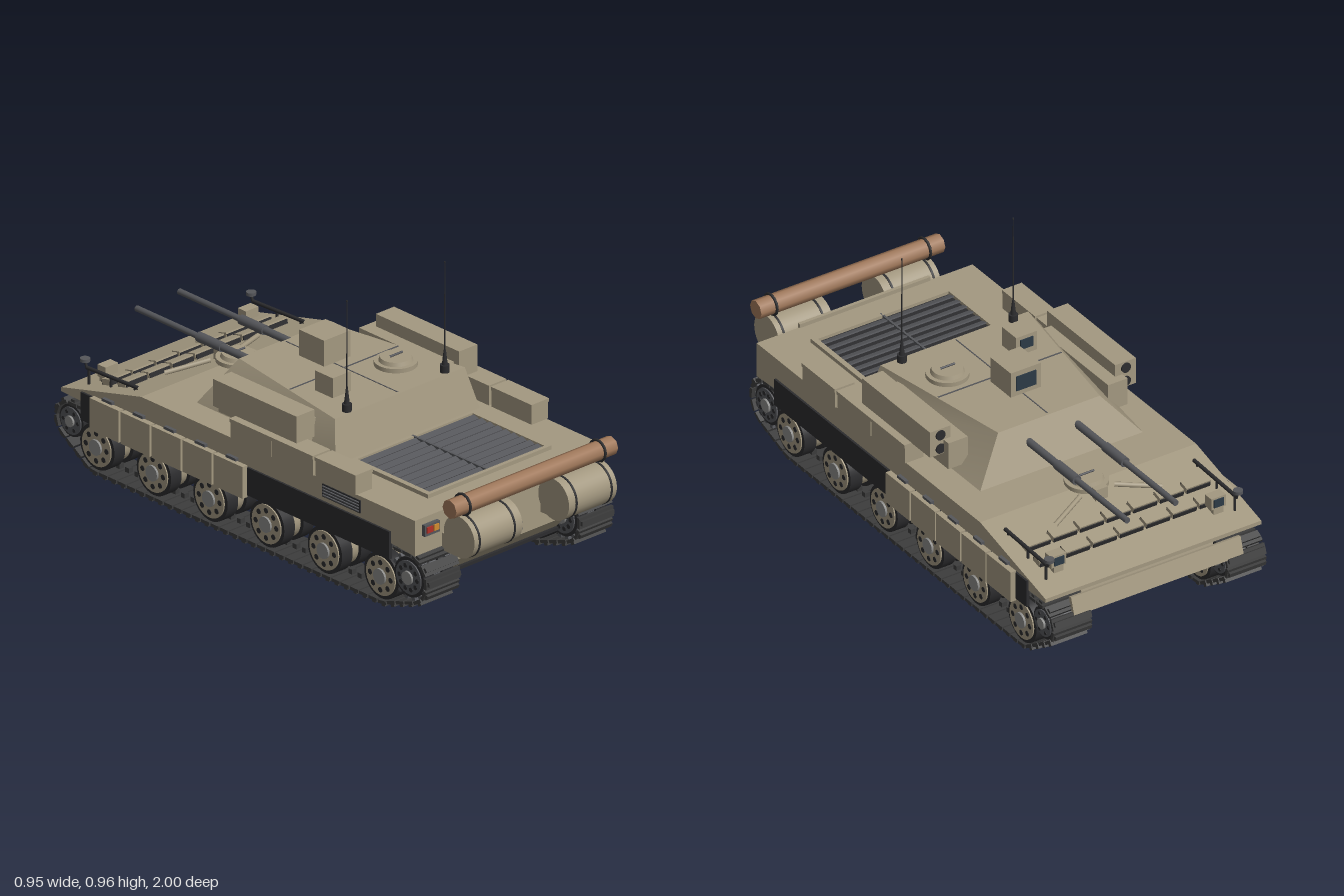
import * as THREE from 'three';
import { mergeGeometries } from 'three/addons/utils/BufferGeometryUtils.js';

const paint = (color) => new THREE.MeshStandardMaterial({ color });
const TAN = paint(0xa39880), DARK = paint(0x2c2c2e), TRACK = paint(0x3c3c3c), STEEL = paint(0x55565a);
const HUB = paint(0x8a8a88), WOOD = paint(0xa0785a), RED = paint(0xb03028), AMBER = paint(0xd08a30), GLASS = paint(0x2c3a46);

function add(parent, name, geo, mat, x = 0, y = 0, z = 0) {
  const m = new THREE.Mesh(geo, mat);
  m.name = name;
  m.position.set(x, y, z);
  parent.add(m);
  return m;
}
// Box given by its limits on each axis
const box = (p, name, mat, x0, x1, y0, y1, z0, z1) =>
  add(p, name, new THREE.BoxGeometry(Math.abs(x1 - x0), y1 - y0, Math.abs(z1 - z0)), mat, (x0 + x1) / 2, (y0 + y1) / 2, (z0 + z1) / 2);
// Cylinder along an axis
function cyl(p, name, mat, axis, r, len, x, y, z, seg = 24, r2 = r) {
  const g = new THREE.CylinderGeometry(r2, r, len, seg);
  if (axis === 'x') g.rotateZ(-Math.PI / 2);
  if (axis === 'z') g.rotateX(-Math.PI / 2); // r2 end faces -z
  return add(p, name, g, mat, x, y, z);
}
// Round bar between two points
function bar(p, name, mat, a, b, r) {
  const path = new THREE.LineCurve3(new THREE.Vector3(...a), new THREE.Vector3(...b));
  return add(p, name, new THREE.TubeGeometry(path, 1, r, 8), mat);
}
// Side profile of [z, y] points extruded across the width
function slab(p, name, mat, pts, halfWidth) {
  const s = new THREE.Shape(pts.map(([z, y]) => new THREE.Vector2(-z, y)));
  const g = new THREE.ExtrudeGeometry(s, { depth: halfWidth * 2, bevelEnabled: false });
  g.translate(0, 0, -halfWidth).rotateY(Math.PI / 2);
  return add(p, name, g, mat);
}

// Belt around circles [z, y, r], listed counter-clockwise, as a list of points
function belt(circles) {
  const pts = [], n = circles.length;
  const normal = (a, b) => Math.atan2(b[1] - a[1], b[0] - a[0]) - Math.acos((a[2] - b[2]) / Math.hypot(b[0] - a[0], b[1] - a[1]));
  circles.forEach((c, i) => {
    const a0 = normal(circles[(i + n - 1) % n], c);
    let a1 = normal(c, circles[(i + 1) % n]);
    while (a1 < a0) a1 += Math.PI * 2;
    for (let k = 0; k <= 16; k++) {
      const a = a0 + (a1 - a0) * k / 16;
      pts.push(new THREE.Vector3(0, c[1] + c[2] * Math.sin(a), c[0] + c[2] * Math.cos(a)));
    }
  });
  return pts;
}

function trackGeometry() {
  const pts = belt([[-0.786, 0.11, 0.094], [0.636, 0.11, 0.094], [0.775, 0.152, 0.09], [-0.915, 0.165, 0.069]]);
  const path = new THREE.CurvePath();
  pts.forEach((p, i) => {
    const q = pts[(i + 1) % pts.length];
    if (p.distanceTo(q) > 1e-5) path.add(new THREE.LineCurve3(p, q));
  });
  const count = 84, pitch = path.getLength() / count, parts = [];
  for (let i = 0; i < count; i++) {
    const p = path.getPointAt(i / count), t = path.getTangentAt(i / count);
    const angle = Math.atan2(-t.y, t.z);
    // shoe, grouser and inner guide horn
    [[0.16, 0.012, pitch * 0.86, 0], [0.15, 0.012, pitch * 0.36, -0.01], [0.02, 0.02, pitch * 0.4, 0.014]].forEach(([w, h, l, y]) =>
      parts.push(new THREE.BoxGeometry(w, h, l).translate(0, y, 0).rotateX(angle).translate(0, p.y, p.z)));
  }
  return mergeGeometries(parts);
}

// Wheel facing +x, with a ring of dark holes
function wheel(name, r, holes, rimMat) {
  const g = new THREE.Group();
  g.name = name;
  cyl(g, 'tyre', DARK, 'x', r, 0.05, 0.045, 0, 0, 32);
  cyl(g, 'innerTyre', DARK, 'x', r, 0.05, -0.045, 0, 0, 32);
  cyl(g, 'rim', rimMat, 'x', r * 0.84, 0.15, 0, 0, 0, 32);
  cyl(g, 'hub', HUB, 'x', r * 0.34, 0.166, 0, 0, 0, 16);
  for (let i = 0; i < holes; i++) {
    const a = (i / holes) * Math.PI * 2;
    cyl(g, 'hole', DARK, 'x', r * 0.12, 0.153, 0, Math.sin(a) * r * 0.6, Math.cos(a) * r * 0.6, 10);
  }
  return g;
}

function runningGear(root, s, track) {
  const g = new THREE.Group();
  g.name = 'runningGear';
  root.add(g);
  add(g, 'track', track, TRACK, s * 0.36);
  const place = (w, y, z) => { w.position.set(s * 0.36, y, z); g.add(w); };
  [0.636, 0.353, 0.064, -0.22, -0.503, -0.786].forEach((z) => {
    place(wheel('roadWheel', 0.086, 8, TAN), 0.11, z);
    bar(g, 'swingArm', STEEL, [s * 0.275, 0.17, z - 0.1], [s * 0.285, 0.11, z], 0.016);
  });
  place(wheel('idler', 0.06, 6, STEEL), 0.165, -0.915);
  const sprocket = wheel('sprocket', 0.074, 10, STEEL);
  for (let i = 0; i < 14; i++) [-0.055, 0.055].forEach((x) => {
    const a = (i / 14) * Math.PI * 2;
    add(sprocket, 'tooth', new THREE.BoxGeometry(0.025, 0.02, 0.016), STEEL, x, Math.sin(a) * 0.078, Math.cos(a) * 0.078).rotation.x = -a + Math.PI / 2;
  });
  place(sprocket, 0.152, 0.775);
}

function sideFittings(root, s) {
  // Skirts
  box(root, 'rubberSkirt', DARK, s * 0.44, s * 0.454, 0.2, 0.305, -0.845, 0.7);
  for (let i = 0; i < 5; i++) {
    const z = -0.012 - i * 0.155;
    box(root, 'skirtPanel', TAN, s * 0.452, s * 0.474, 0.192, 0.312, z - 0.147, z);
    box(root, 'skirtHinge', STEEL, s * 0.445, s * 0.46, 0.306, 0.322, z - 0.1, z - 0.05);
  }
  // Stowage boxes along the deck edge
  [[0.33, 0.53], [0.112, 0.316], [-0.097, 0.108]].forEach(([a, b]) => {
    box(root, 'stowageBox', TAN, s * 0.375, s * 0.452, 0.385, 0.45, a, b);
    box(root, 'stowageLid', TAN, s * 0.373, s * 0.455, 0.448, 0.461, a - 0.002, b + 0.002);
  });
  // Launcher housing beside the turret
  box(root, 'launcherMount', TAN, s * 0.29, s * 0.37, 0.41, 0.515, -0.243, 0.18);
  box(root, 'launcherHousing', TAN, s * 0.34, s * 0.425, 0.46, 0.562, -0.212, 0.205);
  [0.484, 0.538].forEach((y) => cyl(root, 'launcherTube', DARK, 'z', 0.019, 0.01, s * 0.383, y, -0.212));
  // Tail lamp
  box(root, 'lampHousing', STEEL, s * 0.342, s * 0.412, 0.318, 0.36, 0.81, 0.835);
  box(root, 'amberLamp', AMBER, s * 0.35, s * 0.372, 0.33, 0.352, 0.83, 0.84);
  box(root, 'redLamp', RED, s * 0.378, s * 0.405, 0.33, 0.352, 0.83, 0.84);
  // Fuel drum with bands and brackets
  cyl(root, 'fuelDrum', TAN, 'x', 0.077, 0.225, s * 0.222, 0.323, 0.923, 32);
  [0.145, 0.31].forEach((x) => cyl(root, 'drumBand', DARK, 'x', 0.079, 0.008, s * x, 0.323, 0.923, 32));
  [0.145, 0.31].forEach((x) => box(root, 'drumBracket', TAN, s * x - 0.008, s * x + 0.008, 0.235, 0.3, 0.81, 0.9));
  add(root, 'logStrap', new THREE.TorusGeometry(0.039, 0.005, 6, 12).rotateY(Math.PI / 2), DARK, s * 0.317, 0.442, 0.923);
  // Antenna
  cyl(root, 'antennaBase', DARK, 'y', 0.017, 0.03, s * 0.23, 0.55, 0.25, 12);
  cyl(root, 'antennaSpring', DARK, 'y', 0.011, 0.06, s * 0.23, 0.59, 0.25, 10, 0.004);
  cyl(root, 'antennaRod', DARK, 'y', 0.003, 0.34, s * 0.23, 0.78, 0.25, 6, 0.0015);
  cyl(root, 'antennaTip', DARK, 'y', 0.003, 0.006, s * 0.23, 0.952, 0.25, 8);
  // Gun barrel: root, sleeve, tube
  [[0.014, -0.3, -0.53], [0.018, -0.51, -0.63], [0.011, -0.62, -0.94]].forEach(([r, a, b]) =>
    cyl(root, 'gunBarrel', STEEL, 'z', r, a - b, s * 0.1, 0.475, (a + b) / 2, 16));
  // Headlamp, guard rail and mirror
  box(root, 'headlampBase', TAN, s * 0.31, s * 0.35, 0.3, 0.33, -0.86, -0.81);
  box(root, 'headlamp', TAN, s * 0.3, s * 0.36, 0.33, 0.375, -0.86, -0.82);
  box(root, 'headlampLens', GLASS, s * 0.31, s * 0.35, 0.337, 0.368, -0.864, -0.855);
  bar(root, 'guardRail', DARK, [s * 0.39, 0.375, -0.62], [s * 0.39, 0.365, -0.88], 0.007);
  [-0.64, -0.76, -0.87].forEach((z) => bar(root, 'railPost', DARK, [s * 0.39, 0.3, z], [s * 0.39, 0.37, z], 0.005));
  cyl(root, 'mirror', STEEL, 'y', 0.018, 0.012, s * 0.39, 0.392, -0.89, 14);
  bar(root, 'mirrorStalk', DARK, [s * 0.39, 0.36, -0.88], [s * 0.39, 0.39, -0.89], 0.005);
  bar(root, 'splashBar', TAN, [s * 0.22, 0.36, -0.675], [s * 0.07, 0.385, -0.605], 0.009);
}

function hatch(p, name, x, y, z, r) {
  cyl(p, name + 'Ring', TAN, 'y', r, 0.016, x, y + 0.008, z, 32);
  cyl(p, name + 'Lid', TAN, 'y', r * 0.8, 0.016, x, y + 0.022, z, 32, r * 0.72);
  bar(p, name + 'Handle', STEEL, [x - r * 0.4, y + 0.037, z], [x + r * 0.4, y + 0.037, z], 0.004);
}

export function createModel() {
  const root = new THREE.Group();
  root.name = 'trackedVehicle';

  // Hull
  slab(root, 'upperHull', TAN, [[0.82, 0.25], [0.82, 0.385], [-0.55, 0.385], [-0.95, 0.285], [-0.95, 0.27], [-0.82, 0.265], [-0.7, 0.26], [0.7, 0.26]], 0.446);
  slab(root, 'lowerHull', TAN, [[0.82, 0.3], [0.82, 0.18], [0.76, 0.112], [-0.72, 0.106], [-0.92, 0.2], [-0.9, 0.28]], 0.272);
  box(root, 'rearPlate', TAN, -0.27, 0.27, 0.18, 0.4, 0.815, 0.828);
  box(root, 'rearLip', DARK, -0.272, 0.272, 0.104, 0.116, 0.75, 0.775);
  add(root, 'trimVane', new THREE.BoxGeometry(0.7, 0.07, 0.015), TAN, 0, 0.23, -0.968).rotation.x = 0.3;
  box(root, 'towPlate', TAN, -0.03, 0.03, 0.215, 0.263, 0.825, 0.835);
  box(root, 'towHook', STEEL, -0.009, 0.009, 0.225, 0.255, 0.83, 0.875);
  cyl(root, 'log', WOOD, 'x', 0.035, 0.76, 0, 0.442, 0.923, 8);

  // Engine deck grille
  box(root, 'grilleBed', DARK, -0.275, 0.275, 0.38, 0.388, 0.345, 0.705);
  [-1, 1].forEach((s) => box(root, 'grilleFrame', TAN, s * 0.27, s * 0.29, 0.38, 0.4, 0.33, 0.72));
  [0.33, 0.705].forEach((z) => box(root, 'grilleFrame', TAN, -0.29, 0.29, 0.38, 0.4, z, z + 0.015));
  for (let i = 0; i < 9; i++)
    add(root, 'grilleSlat', new THREE.BoxGeometry(0.54, 0.005, 0.026), STEEL, 0, 0.392, 0.365 + i * 0.04).rotation.x = 0.3;
  box(root, 'grilleSpine', STEEL, -0.004, 0.004, 0.39, 0.4, 0.33, 0.72);

  // Side exhaust louvre
  box(root, 'exhaustFrame', DARK, -0.45, -0.44, 0.322, 0.37, 0.36, 0.55);
  for (let i = 0; i < 4; i++) box(root, 'exhaustLouvre', STEEL, -0.456, -0.445, 0.328 + i * 0.011, 0.332 + i * 0.011, 0.365, 0.545);

  // Rows of blocks on the glacis
  const glacis = new THREE.Group();
  glacis.name = 'glacisBlocks';
  glacis.position.set(0, 0.385, -0.55);
  glacis.rotation.x = -0.245;
  root.add(glacis);
  [-0.17, -0.252].forEach((z) => {
    for (let i = -3; i <= 3; i++) {
      box(glacis, 'block', TAN, i * 0.11 - 0.05, i * 0.11 + 0.05, 0, 0.022, z - 0.019, z + 0.019);
      box(glacis, 'blockStrap', DARK, i * 0.11 - 0.048, i * 0.11 + 0.048, 0, 0.016, z - 0.023, z + 0.023);
    }
  });
  hatch(root, 'driverHatch', 0, 0.384, -0.54, 0.078);
  box(root, 'driverPeriscope', TAN, -0.025, 0.025, 0.36, 0.408, -0.635, -0.61);

  // Turret: a box drawn in towards the roof, most of all at the gun end
  const shell = new THREE.BoxGeometry(2, 1, 2), v = shell.attributes.position;
  for (let i = 0; i < v.count; i++) {
    const top = v.getY(i) > 0, gunEnd = v.getZ(i) < 0;
    const x = top ? (gunEnd ? 0.21 : 0.305) : 0.34;
    v.setXYZ(i, v.getX(i) * x, top ? 0.537 : 0.38, gunEnd ? (top ? -0.31 : -0.39) : (top ? 0.27 : 0.31));
  }
  shell.computeVertexNormals();
  add(root, 'turret', shell, TAN);
  box(root, 'roofSeam', STEEL, -0.255, 0.255, 0.534, 0.5385, -0.012, -0.006);
  box(root, 'roofSeam', STEEL, -0.002, 0.002, 0.534, 0.5385, -0.3, 0.26);
  hatch(root, 'commanderHatch', 0.15, 0.537, 0.09, 0.076);

  // Roof sights with windows toward the guns
  box(root, 'mainSightNeck', TAN, -0.035, 0.035, 0.53, 0.556, -0.14, -0.07);
  box(root, 'mainSight', TAN, -0.063, 0.061, 0.55, 0.648, -0.167, -0.042);
  box(root, 'mainSightWindow', GLASS, -0.042, 0.04, 0.57, 0.628, -0.171, -0.16);
  box(root, 'smallSight', TAN, -0.196, -0.111, 0.53, 0.612, 0.055, 0.143);
  box(root, 'smallSightWindow', GLASS, -0.18, -0.127, 0.56, 0.598, 0.051, 0.06);

  const track = trackGeometry();
  [-1, 1].forEach((s) => {
    runningGear(root, s, track);
    sideFittings(root, s);
  });
  return root;
}
